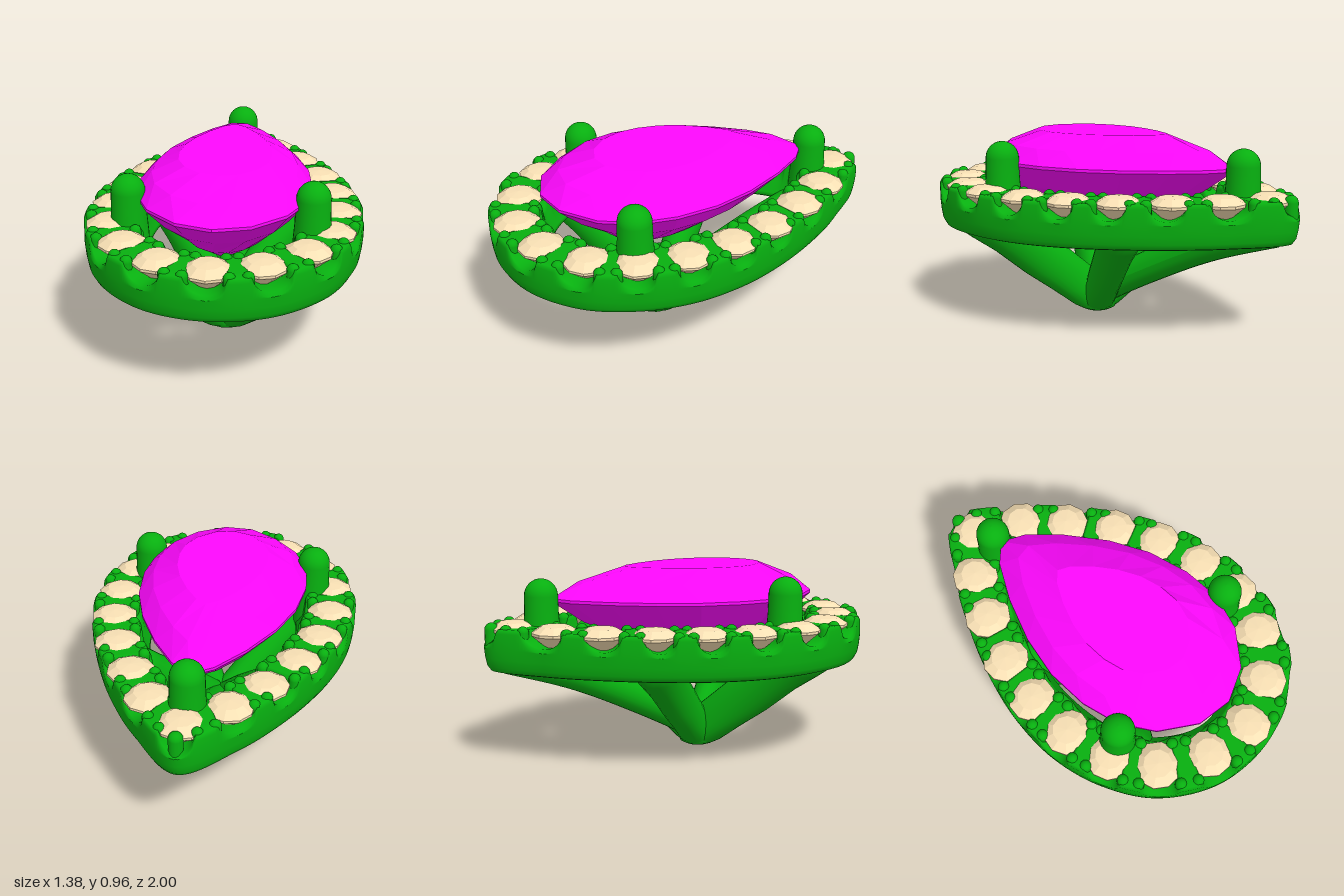
import * as THREE from 'three';

const green = new THREE.MeshStandardMaterial({ color: 0x08b010 });
const magenta = new THREE.MeshStandardMaterial({ color: 0xff08ff, flatShading: true });
const cream = new THREE.MeshStandardMaterial({ color: 0xf8e0b4, flatShading: true });
const COUNT = 18;

// Closed pear curve from one half outline, tip first, mirrored in x
function pear(half) {
  const mirrored = half.slice(1, -1).reverse().map(([x, z]) => [-x, z]);
  const pts = [...half, ...mirrored].map(([x, z]) => new THREE.Vector3(x, 0, z));
  return new THREE.CatmullRomCurve3(pts, true, 'catmullrom', 0.5);
}
const outer = pear([[0, -1], [0.255, -0.775], [0.435, -0.53], [0.565, -0.29], [0.65, -0.06],
  [0.69, 0.2], [0.655, 0.47], [0.535, 0.73], [0.3, 0.93], [0, 1]]);
const inner = pear([[0, -0.65], [0.1, -0.58], [0.22, -0.42], [0.33, -0.22], [0.4, -0.02],
  [0.425, 0.19], [0.405, 0.38], [0.325, 0.55], [0.172, 0.69], [0, 0.738]]);
const middle = pear([[0, -0.85], [0.19, -0.69], [0.325, -0.5], [0.45, -0.28], [0.53, -0.05],
  [0.56, 0.19], [0.535, 0.43], [0.43, 0.64], [0.235, 0.805], [0, 0.87]]);

const wrap = t => ((t % 1) + 1) % 1;
// Point across the band: w = 0 inside edge, 1 outside edge
const band = (t, w) => inner.getPoint(wrap(t)).lerp(outer.getPoint(wrap(t)), w);

// Grid surface, closed around u; point(i, j) gives each vertex
function loft(nu, nv, closedV, point) {
  const pos = [], index = [];
  for (let j = 0; j < nv; j++) for (let i = 0; i < nu; i++) pos.push(...point(i, j).toArray());
  for (let j = 0; j < (closedV ? nv : nv - 1); j++) {
    for (let i = 0; i < nu; i++) {
      const k = (i + 1) % nu, r = j * nu, s = ((j + 1) % nv) * nu;
      index.push(r + i, s + i, r + k, r + k, s + i, s + k);
    }
  }
  const g = new THREE.BufferGeometry();
  g.setAttribute('position', new THREE.Float32BufferAttribute(pos, 3));
  g.setIndex(index);
  g.computeVertexNormals();
  return g;
}

function lathe(points, sides) {
  return new THREE.LatheGeometry(points.map(p => new THREE.Vector2(...p)), sides);
}

// Pear ring with a U-shaped cut at every stone and a lip inside its lower edge
function haloGeometry() {
  const per = 24;
  // [across, height, follows the scalloped top]
  const section = [[0.4, 0.475], [0.82, 0.475], [0.91, 0.483], [0.96, 0.508], [0.985, 0.55], [1, 0.6],
    [1, -0.02, 1], [0.96, 0, 1], [0.75, 0, 1], [0.5, 0, 1], [0.25, 0, 1], [0.04, 0, 1],
    [0, -0.02, 1], [-0.04, 0.57], [-0.16, 0.51], [-0.17, 0.49], [-0.1, 0.475]];
  return loft(COUNT * per, section.length, true, (i, j) => {
    const t = i / per, d = Math.abs(t - Math.round(t)) / 0.32;
    const top = 0.7 - 0.082 * Math.sqrt(Math.max(0, 1 - d * d));
    const [w, y, scalloped] = section[j];
    const p = band(t / COUNT, w);
    p.y = scalloped ? top + y : y;
    return p;
  });
}

// Faceted pear gem: rings from culet to table, alternate rings turned half a step
function gemGeometry() {
  const rings = [[0, 0.44, 0.25, 0], [0.45, 0.555, 0.2, 0.5], [0.8, 0.69, 0.14, 0], [1.01, 0.805, 0.1, 0],
    [1.01, 0.82, 0.1, 0], [0.84, 0.895, 0.14, 0.5], [0.54, 0.965, 0.14, 0], [0, 0.965, 0.14, 0]];
  const n = 18;
  return loft(n, rings.length, false, (i, j) => {
    const [s, y, zc, turn] = rings[j];
    const p = inner.getPoint(wrap((i + turn) / n));
    return new THREE.Vector3(p.x * s, y, zc + (p.z - zc) * s);
  }).toNonIndexed();
}

// Splayed strut from level oval slices, leaning outward along (dx, dz)
function splayedStrut(dx, dz, spread) {
  // [height, reach, half length along the lean, half width]
  const slices = [[0.004, 0, 0, 0], [0.004, 0, 0.08, 0.06], [0.03, 0.02, 0.11, 0.08], [0.12, 0.1, 0.15, 0.083],
    [0.22, 0.205, 0.185, 0.085], [0.35, 0.36, 0.188, 0.09], [0.43, 0.47, 0.195, 0.097],
    [0.485, 0.545, 0.195, 0.105], [0.55, 0.58, 0.15, 0.1], [0.6, 0.6, 0.11, 0.09], [0.6, 0.6, 0, 0]];
  const sides = 24;
  return loft(sides, slices.length, false, (i, j) => {
    const [y, reach, a, b] = slices[j], t = (i / sides) * Math.PI * 2;
    const along = spread * (reach + a * Math.cos(t)), across = b * Math.sin(t);
    return new THREE.Vector3(dx * along - dz * across, y, dz * along + dx * across);
  });
}

// Long strut to the tip: a tube that widens, closed at the far end
function backStrut(points, r0, r1) {
  const curve = new THREE.CatmullRomCurve3(points.map(p => new THREE.Vector3(...p)));
  const n = 24, sides = 20;
  const g = new THREE.TubeGeometry(curve, n, 1, sides);
  const pos = g.attributes.position, v = new THREE.Vector3();
  for (let i = 0; i <= n; i++) {
    const c = curve.getPointAt(i / n);
    const r = i === n ? 0 : r0 + (r1 - r0) * (i / n) ** 2;
    for (let j = 0; j <= sides; j++) {
      const k = i * (sides + 1) + j;
      v.fromBufferAttribute(pos, k).sub(c).multiplyScalar(r).add(c);
      pos.setXYZ(k, v.x, v.y, v.z);
    }
  }
  g.computeVertexNormals();
  return g;
}

export function createModel() {
  const model = new THREE.Group();
  model.name = 'pearHaloSetting';
  const add = (name, geometry, material, parent = model) => {
    const mesh = new THREE.Mesh(geometry, material);
    mesh.name = name;
    parent.add(mesh);
    return mesh;
  };

  add('haloRing', haloGeometry(), green);
  add('centreGem', gemGeometry(), magenta);

  // Small round stones and the claws between them
  const stones = new THREE.Group(), claws = new THREE.Group();
  stones.name = 'haloStones';
  claws.name = 'haloClaws';
  model.add(stones, claws);
  const stoneGeo = lathe([[0, 0.575], [0.117, 0.675], [0.117, 0.688], [0.07, 0.718], [0, 0.723]], 10);
  const clawGeo = new THREE.CapsuleGeometry(0.029, 0.09, 6, 12);
  for (let i = 0; i < COUNT; i++) {
    const stone = add('haloStone', stoneGeo, cream, stones);
    stone.position.copy(middle.getPoint(i / COUNT));
    stone.rotation.y = i * 0.7;
    for (const w of [0.14, 0.86]) {
      for (const side of [-0.14, 0.14]) {
        const claw = add('claw', clawGeo, green, claws);
        claw.position.copy(band((i + 0.5 + side) / COUNT, w)).setY(0.644);
      }
    }
  }
  add('tipClaw', new THREE.CapsuleGeometry(0.035, 0.1, 6, 14), green, claws).position.set(0, 0.635, -0.96);

  // Three domed posts that hold the gem
  const profile = [[0.1, 0.5], [0.094, 0.64], [0.085, 0.76]];
  for (let k = 0; k <= 8; k++) {
    const a = (k / 8) * Math.PI / 2;
    profile.push([0.083 * Math.cos(a), 0.85 + 0.083 * Math.sin(a)]);
  }
  const postGeo = lathe(profile, 28);
  add('leftPost', postGeo, green).position.set(0.443, 0, 0.41);
  add('rightPost', postGeo, green).position.set(-0.443, 0, 0.41);
  add('backPost', postGeo, green).position.set(0, -0.01, -0.71);

  // Struts that meet in a rounded foot
  for (const s of [1, -1]) {
    add('frontStrut', splayedStrut(s * 0.743, 0.669, 1), green).position.z = 0.13;
    add('sideStrut', splayedStrut(s * 0.7, -0.714, 0.92), green).position.z = 0.13;
  }
  add('backStrut', backStrut([[0, 0.1, 0.13], [0, 0.26, -0.17], [0, 0.43, -0.53], [0, 0.565, -0.92]], 0.083, 0.095), green);
  add('foot', lathe([[0, 0], [0.07, 0.001], [0.095, 0.014], [0.106, 0.045], [0.1, 0.1], [0, 0.2]], 28),
    green).position.z = 0.13;

  return model;
}
